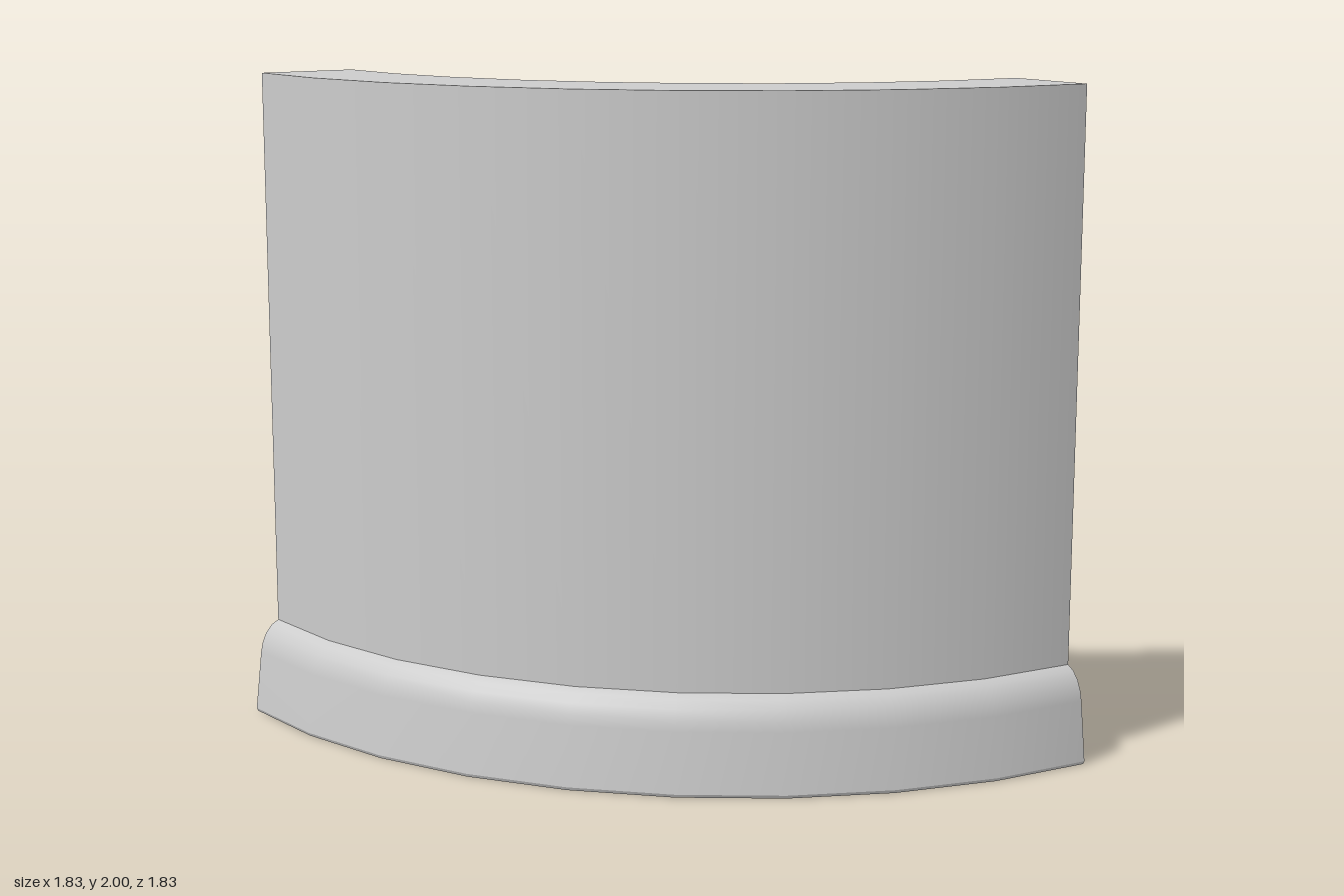
import * as THREE from 'three';

const CORNER = 0.913;   // axis of the quarter ring sits at (CORNER, -CORNER)
const MID = 1.592;      // radius of the wall's centre line
const HEIGHT = 2;
const SEGMENTS = 9;

export function createModel() {
  const model = new THREE.Group();
  model.name = 'curvedWallSection';
  const material = new THREE.MeshStandardMaterial({ color: 0xcccccc });

  // Half section as [distance from centre line, y]; each run is smooth, runs meet at creases
  const runs = {
    baseEdge: [[0.229, 0], [0.234, 0.01]],
    baseMoulding: [[0.234, 0.01], [0.213, 0.19], [0.207, 0.22], [0.194, 0.25], [0.174, 0.274], [0.151, 0.287]],
    wallFace: [[0.151, 0.287], [0.151, HEIGHT]],
  };

  const add = (name, geometry) => {
    const mesh = new THREE.Mesh(geometry, material);
    mesh.name = name;
    mesh.position.set(CORNER, 0, -CORNER);
    model.add(mesh);
    return mesh;
  };
  const sweep = (name, points) => add(name, new THREE.LatheGeometry(
    points.map(([r, y]) => new THREE.Vector2(r, y)), SEGMENTS, -Math.PI / 2, Math.PI / 2));
  const outer = (pts) => pts.map(([d, y]) => [MID + d, y]);
  const inner = (pts) => pts.map(([d, y]) => [MID - d, y]).reverse();

  // Curved faces on the outside and, mirrored, on the inside
  for (const [name, pts] of Object.entries(runs)) {
    sweep(name + 'Outer', outer(pts));
    sweep(name + 'Inner', inner(pts));
  }

  // Flat top and underside
  sweep('topFace', [[MID + 0.151, HEIGHT], [MID - 0.151, HEIGHT]]);
  sweep('underside', [[MID - 0.229, 0], [MID + 0.229, 0]]);

  // Flat ends cut to the full section
  const half = [runs.baseEdge[0], ...runs.baseMoulding, runs.wallFace[1]];
  const section = [...outer(half), ...inner(half)];
  const cap = (name, side, turn) => {
    const shape = new THREE.Shape(section.map(([r, y]) => new THREE.Vector2(side * r, y)));
    add(name, new THREE.ShapeGeometry(shape)).rotation.y = turn;
  };
  cap('leftEnd', -1, Math.PI / 2);
  cap('backEnd', 1, Math.PI);

  return model;
}
